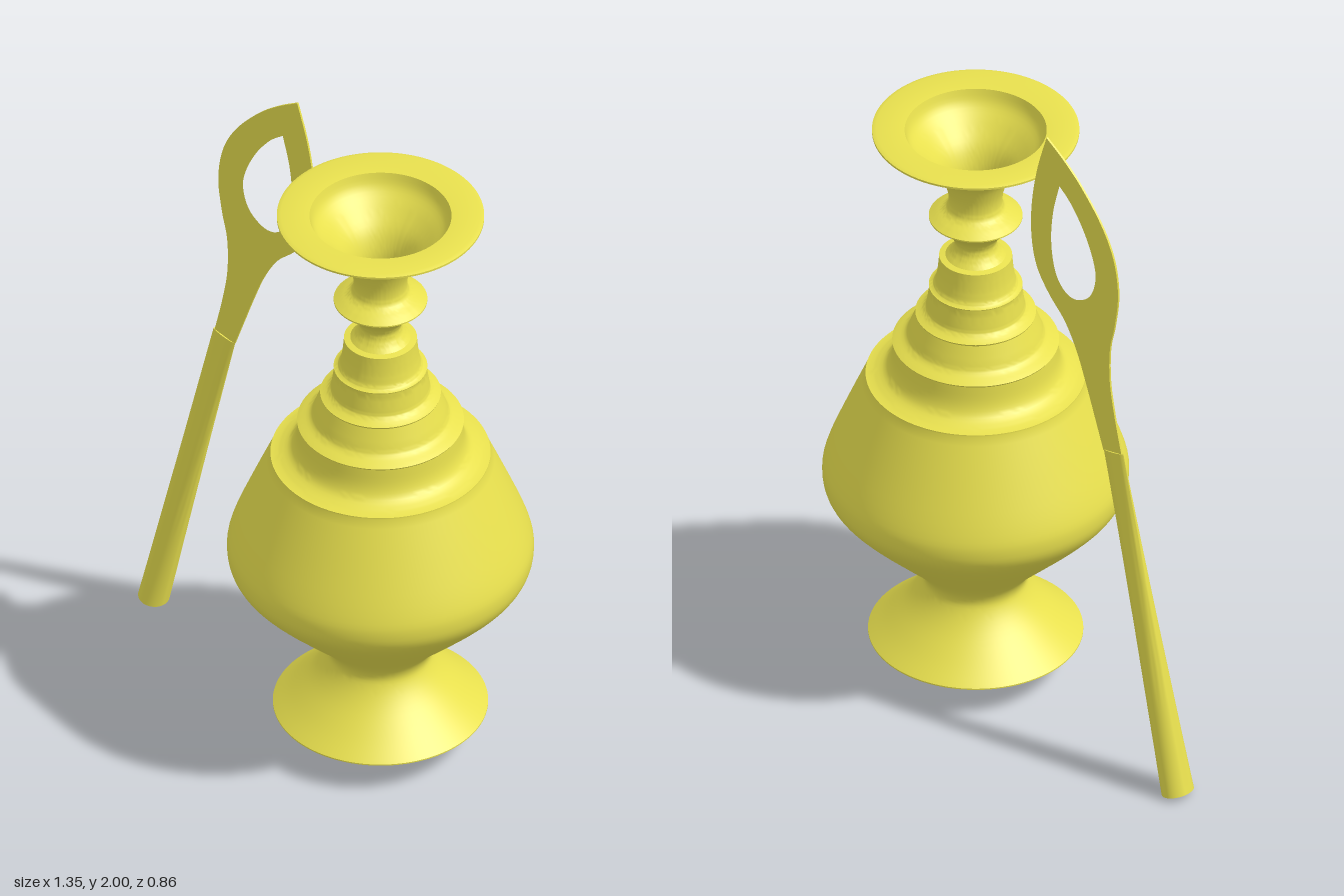
import * as THREE from 'three';
import { toCreasedNormals } from 'three/addons/utils/BufferGeometryUtils.js';

const vec = ([x, y]) => new THREE.Vector2(x, y);
const yellow = new THREE.MeshStandardMaterial({ color: 0xe8e04e });

// Smooth runs joined by hard corners make one lathe profile.
function profile(runs) {
  const out = [];
  for (const run of runs) {
    const pts = run.map(vec);
    out.push(...(pts.length > 2 ? new THREE.SplineCurve(pts).getPoints((pts.length - 1) * 4) : pts));
  }
  return out.filter((p, i) => i === 0 || p.distanceTo(out[i - 1]) > 1e-4);
}

function addMesh(parent, name, geometry) {
  const mesh = new THREE.Mesh(geometry, yellow);
  mesh.name = name;
  parent.add(mesh);
  return mesh;
}

function createVase() {
  const points = profile([
    // underside and flared foot
    [[0, 0.095], [0.04, 0.1]],
    [[0.04, 0.1], [0.303, 0.1]],
    [[0.303, 0.104], [0.25, 0.15], [0.19, 0.21], [0.155, 0.26], [0.148, 0.295], [0.175, 0.34],
      [0.26, 0.425], [0.36, 0.525], [0.418, 0.595], [0.432, 0.65], [0.42, 0.71], [0.37, 0.835], [0.31, 0.975]],
    // stepped shoulders
    [[0.31, 0.98], [0.29, 0.983]],
    [[0.29, 0.983], [0.255, 1.0], [0.238, 1.035], [0.232, 1.09]],
    [[0.235, 1.095], [0.225, 1.1]],
    [[0.225, 1.1], [0.197, 1.115], [0.186, 1.14], [0.168, 1.187]],
    [[0.17, 1.192], [0.16, 1.196]],
    [[0.16, 1.196], [0.142, 1.208], [0.137, 1.23], [0.13, 1.28]],
    [[0.132, 1.285], [0.122, 1.288]],
    [[0.122, 1.288], [0.115, 1.297], [0.108, 1.33], [0.103, 1.38]],
    [[0.103, 1.385], [0.085, 1.388]],
    // neck, ring and trumpet mouth
    [[0.085, 1.388], [0.066, 1.41], [0.06, 1.435], [0.075, 1.465], [0.105, 1.495], [0.132, 1.518]],
    [[0.132, 1.522], [0.11, 1.535], [0.085, 1.55], [0.076, 1.575], [0.082, 1.62], [0.108, 1.68],
      [0.165, 1.735], [0.225, 1.775], [0.285, 1.808]],
    [[0.292, 1.81], [0.292, 1.816]],
    [[0.292, 1.816], [0.28, 1.82]],
    [[0.28, 1.82], [0.2, 1.814]],
    // hollow inside
    [[0.2, 1.814], [0.185, 1.775], [0.145, 1.735], [0.1, 1.685], [0.076, 1.63], [0.07, 1.575], [0.07, 1.53]],
    [[0.07, 1.53], [0, 1.53]],
  ]);
  return toCreasedNormals(new THREE.LatheGeometry(points, 96), 0.6);
}

// Round at the foot, flattening towards the blade.
function createHandle(length) {
  const geometry = new THREE.CylinderGeometry(1, 1, length, 32, 8);
  const pos = geometry.attributes.position;
  for (let i = 0; i < pos.count; i++) {
    const t = pos.getY(i) / length + 0.5;
    pos.setX(i, pos.getX(i) * THREE.MathUtils.lerp(0.043, 0.04, t));
    pos.setZ(i, pos.getZ(i) * THREE.MathUtils.lerp(0.049, 0.007, t));
  }
  return toCreasedNormals(geometry, 0.7);
}

function createBlade() {
  const outline = new THREE.Shape();
  outline.moveTo(-0.418, 1.04);
  outline.splineThru([[-0.385, 1.18], [-0.367, 1.29], [-0.368, 1.4], [-0.387, 1.49], [-0.4, 1.6],
    [-0.383, 1.71], [-0.335, 1.805], [-0.257, 1.895], [-0.185, 1.955], [-0.115, 2.0]].map(vec));
  outline.splineThru([[-0.077, 1.87], [-0.056, 1.74], [-0.056, 1.63], [-0.077, 1.54], [-0.125, 1.47],
    [-0.188, 1.407], [-0.235, 1.328], [-0.273, 1.233], [-0.31, 1.13], [-0.342, 1.04]].map(vec));
  outline.closePath();

  const eye = new THREE.Path();
  eye.moveTo(-0.167, 1.86);
  eye.splineThru([[-0.142, 1.76], [-0.134, 1.655], [-0.15, 1.56], [-0.187, 1.51], [-0.235, 1.503],
    [-0.287, 1.54], [-0.31, 1.605], [-0.302, 1.668], [-0.265, 1.75], [-0.214, 1.82], [-0.167, 1.86]].map(vec));
  outline.holes.push(eye);

  const geometry = new THREE.ExtrudeGeometry(outline, { depth: 0.006, bevelEnabled: false, curveSegments: 6 });
  return toCreasedNormals(geometry.translate(0, 0, -0.003), 0.6);
}

export function createModel() {
  const model = new THREE.Group();
  model.name = 'vaseAndWand';

  addMesh(model, 'vase', createVase()).position.x = 0.242;

  const wand = new THREE.Group();
  wand.name = 'wand';
  wand.position.z = -0.072;
  model.add(wand);

  // leaning handle from its foot to the root of the blade
  const foot = new THREE.Vector2(-0.635, 0.012);
  const top = new THREE.Vector2(-0.38, 1.052);
  const handle = addMesh(wand, 'handle', createHandle(foot.distanceTo(top)));
  handle.position.set((foot.x + top.x) / 2, (foot.y + top.y) / 2, 0);
  handle.rotation.z = -Math.atan2(top.x - foot.x, top.y - foot.y);

  addMesh(wand, 'blade', createBlade());
  return model;
}
